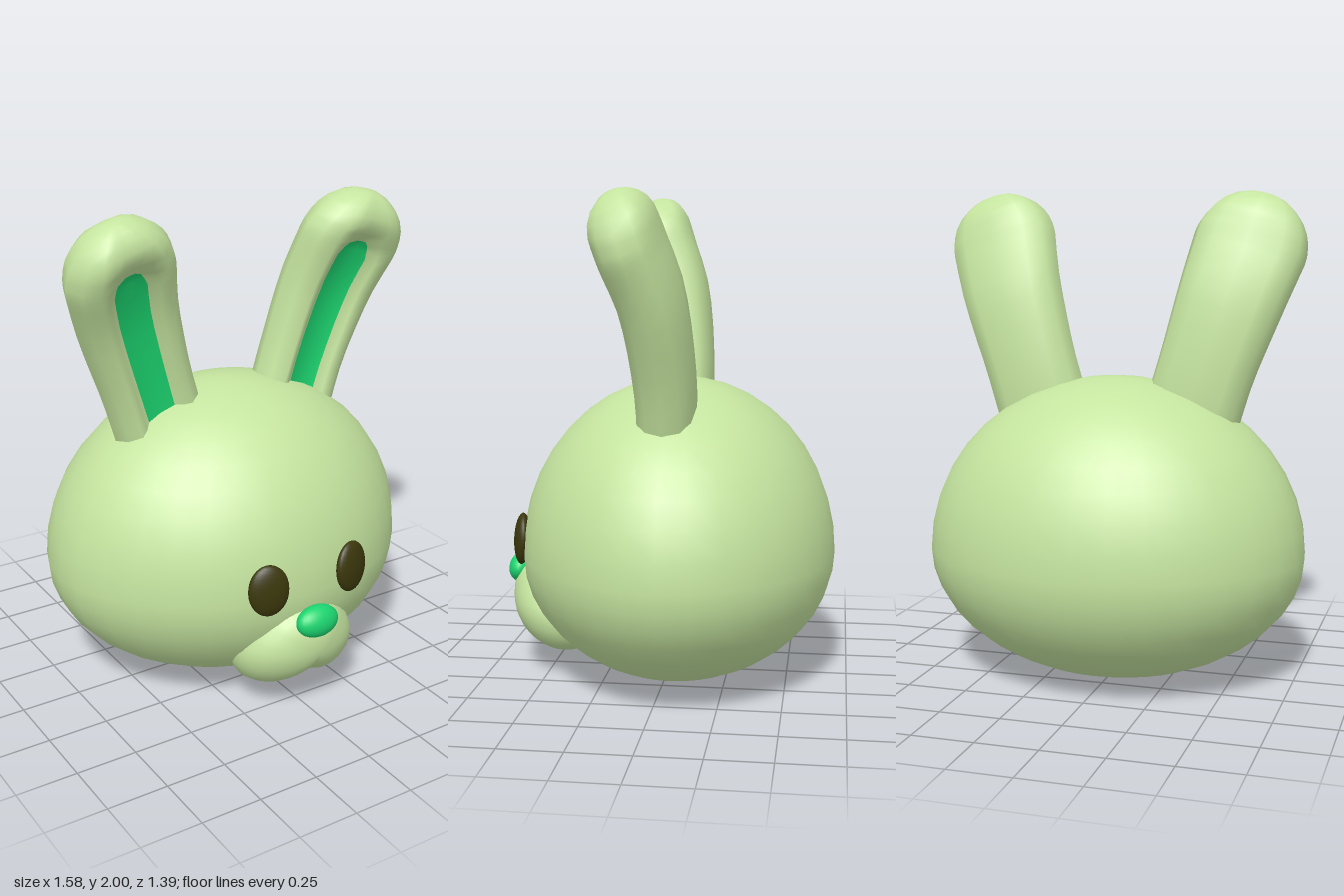
import * as THREE from 'three';

const material = (name, color) => {
  const m = new THREE.MeshStandardMaterial({ color });
  m.name = name;
  return m;
};

// Move every vertex of a geometry by a rule
function deform(geometry, rule) {
  const pos = geometry.attributes.position;
  const v = new THREE.Vector3();
  for (let i = 0; i < pos.count; i++) {
    v.fromBufferAttribute(pos, i);
    rule(v);
    pos.setXYZ(i, v.x, v.y, v.z);
  }
  geometry.computeVertexNormals();
  return geometry;
}

// Average the normals of vertices that share a position (seams, poles, tips)
function weldNormals(geometry) {
  const pos = geometry.attributes.position, nor = geometry.attributes.normal;
  const sums = new Map();
  const key = i => [pos.getX(i), pos.getY(i), pos.getZ(i)].map(c => Math.round(c * 1e4)).join();
  for (let i = 0; i < pos.count; i++) {
    const k = key(i);
    if (!sums.has(k)) sums.set(k, new THREE.Vector3());
    sums.get(k).add(new THREE.Vector3().fromBufferAttribute(nor, i));
  }
  for (const s of sums.values()) s.normalize();
  for (let i = 0; i < pos.count; i++) {
    const s = sums.get(key(i));
    nor.setXYZ(i, s.x, s.y, s.z);
  }
  return geometry;
}

// Wide egg, flatter underneath and slightly narrower towards the face
function headGeometry() {
  return weldNormals(deform(new THREE.SphereGeometry(1, 32, 20), v => {
    const taper = 1 - 0.05 * THREE.MathUtils.smoothstep(v.z, 0.1, 0.75);
    v.set(v.x * 0.792 * taper,
      0.53 + v.y * (v.y > 0 ? 0.722 : 0.528),
      -0.045 + v.z * (v.z > 0 ? 0.655 : 0.648));
  }));
}

// Muzzle outline radius every 15 degrees, from straight down to straight up
const MUZZLE = [0.145, 0.165, 0.205, 0.24, 0.262, 0.27, 0.265, 0.245, 0.228, 0.222, 0.219, 0.212, 0.21];

function muzzleGeometry() {
  const sphere = new THREE.SphereGeometry(1, 48, 20).rotateX(Math.PI / 2);
  return weldNormals(deform(sphere, v => {
    const a = Math.atan2(Math.abs(v.x), -v.y) / (Math.PI / 12);
    const i = Math.min(11, Math.floor(a));
    const r = THREE.MathUtils.lerp(MUZZLE[i], MUZZLE[i + 1], a - i);
    v.set(v.x * r, v.y * r, v.z * 0.205);
    v.z += 0.46 + v.y * 0.22;
    v.y += 0.28;
  }));
}

// Ear lofted along a curve, with a shallow groove down its front
function earGeometry(side) {
  const curve = new THREE.CatmullRomCurve3([
    [0.29, 1.0, -0.035], [0.37, 1.27, -0.035], [0.475, 1.6, 0.005],
    [0.527, 1.77, 0.065], [0.59, 1.985, 0.14],
  ].map(([x, y, z]) => new THREE.Vector3(x * side, y, z)));
  const length = curve.getLength(), R = 0.235;
  const round = (e, r) => e >= r ? 1 : Math.sqrt(Math.max(0, 1 - ((r - e) / r) ** 2));

  // Distances of the rings from the tip
  const rings = [];
  for (let i = 0; i < 9; i++) rings.push(THREE.MathUtils.lerp(length, 0.32, i / 8));
  rings.push(0.27, 0.235, 0.21, 0.19, 0.15, 0.115, 0.075, 0.04, 0.015, 0.004, 0);
  const lastInner = 12;

  const positions = [], outer = [], inner = [];
  const Z = new THREE.Vector3(0, 0, 1);
  let n = 0;
  rings.forEach((e, i) => {
    const t = 1 - e / length;
    const p = curve.getPointAt(t), T = curve.getTangentAt(t);
    const S = T.clone().cross(Z).normalize();
    const N = S.clone().cross(T);
    const w = (R - 0.035 * THREE.MathUtils.clamp((e - R) / 0.5, 0, 1)) * round(e, R);
    const d = (0.113 + 0.01 * t) * round(e, 0.13);
    const dent = 0.055 * THREE.MathUtils.smoothstep(e, 0.09, 0.23);
    const grow = THREE.MathUtils.clamp((e - 0.19) / 0.08, 0, 1);
    const g = i <= lastInner ? 0.025 + 0.052 * Math.sqrt(grow) - 0.016 * (1 - t) : 0.16 * w;
    // Half section from front centre round to back centre
    const half = [
      [0, d - dent], [g, d - dent * 0.95], [(g + 0.62 * w) / 2, d - dent * 0.4],
      [0.62 * w, d * 0.94], [0.87 * w, d * 0.6], [w, 0],
      [0.88 * w, -0.58 * d], [0.58 * w, -0.9 * d], [0, -d],
    ];
    const loop = [...half, ...half.slice(1, -1).reverse().map(([s, q]) => [-s, q])];
    n = loop.length;
    for (const [s, q] of loop) {
      const v = p.clone().addScaledVector(S, s).addScaledVector(N, q);
      positions.push(v.x, v.y, v.z);
    }
  });

  // Outer faces, and the coloured floor of the groove
  for (let i = 0; i < rings.length - 1; i++) {
    for (let j = 0; j < n; j++) {
      const k = (j + 1) % n;
      const a = i * n + j, b = i * n + k, c = b + n, f = a + n;
      const isInner = i < lastInner && (j === 0 || j === n - 1);
      (isInner ? inner : outer).push(a, b, c, a, c, f);
    }
  }
  const geometry = new THREE.BufferGeometry();
  geometry.setAttribute('position', new THREE.Float32BufferAttribute(positions, 3));
  geometry.setIndex([...outer, ...inner]);
  geometry.addGroup(0, outer.length, 0);
  geometry.addGroup(outer.length, inner.length, 1);
  geometry.computeVertexNormals();
  return weldNormals(geometry);
}

export function createModel() {
  const fur = material('paleGreenFur', 0xc5e49f);
  const accent = material('brightGreen', 0x1cd570);
  const dark = material('darkOlive', 0x3b370c);

  const model = new THREE.Group();
  model.name = 'rabbitHead';
  const add = (name, geometry, mat) => {
    const mesh = new THREE.Mesh(geometry, mat);
    mesh.name = name;
    model.add(mesh);
    return mesh;
  };

  add('head', headGeometry(), fur);
  add('muzzle', muzzleGeometry(), fur);

  const nose = add('nose', new THREE.SphereGeometry(1, 24, 16), accent);
  nose.scale.set(0.095, 0.065, 0.052);
  nose.position.set(0, 0.425, 0.642);
  nose.rotation.x = -0.25;

  for (const [label, side] of [['left', 1], ['right', -1]]) {
    add(label + 'Ear', earGeometry(side), [fur, accent]);

    const eye = add(label + 'Eye', new THREE.SphereGeometry(1, 24, 16), dark);
    eye.scale.set(0.084, 0.107, 0.034);
    eye.position.set(0.198 * side, 0.59, 0.59);
    eye.rotation.set(-0.06, 0.26 * side, 0);
  }
  return model;
}
